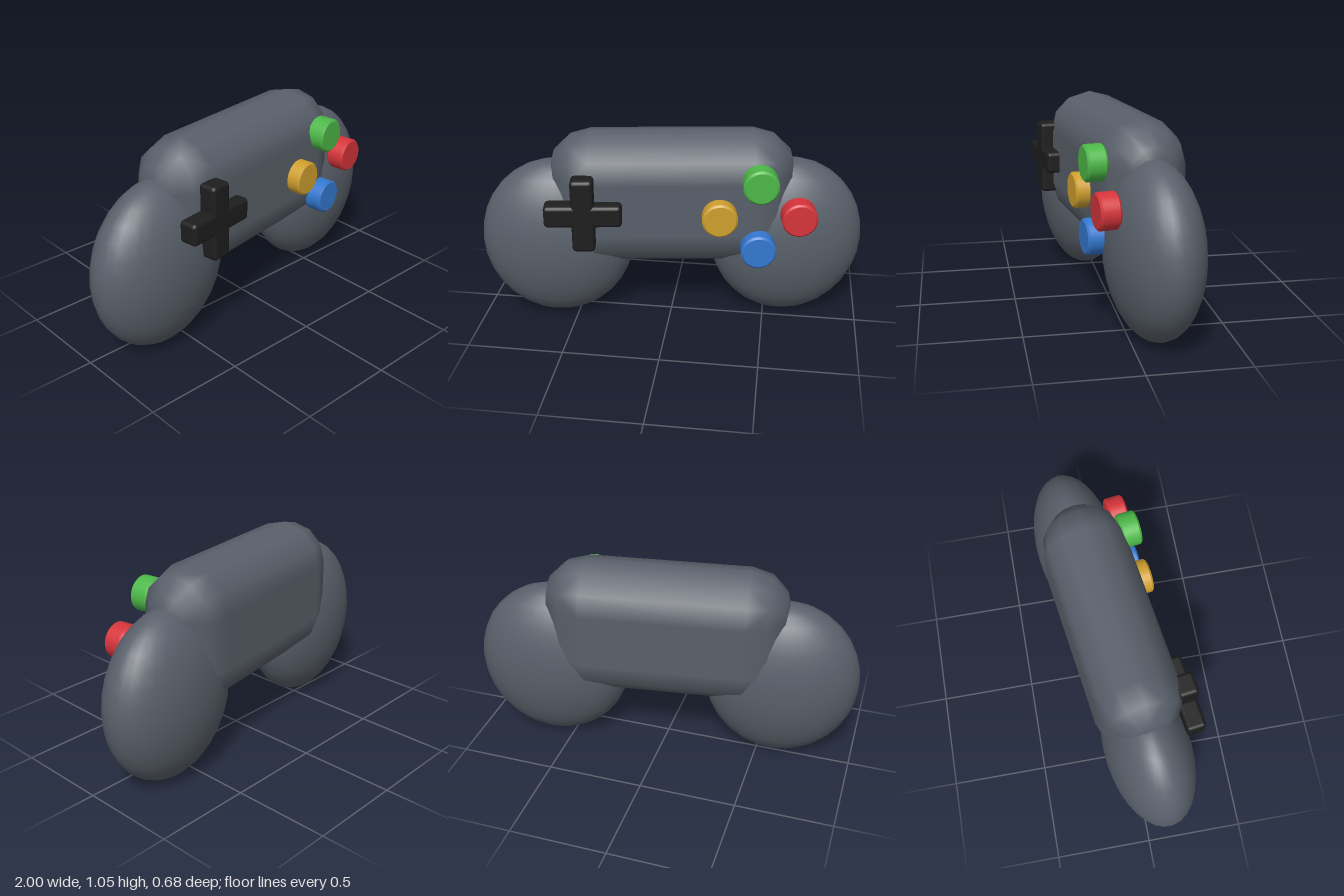
import * as THREE from 'three';
import { RoundedBoxGeometry } from 'three/addons/geometries/RoundedBoxGeometry.js';
import { ConvexGeometry } from 'three/addons/geometries/ConvexGeometry.js';

const material = (name, color) => {
  const m = new THREE.MeshStandardMaterial({ color });
  m.name = name;
  return m;
};

// Pill-like box: eight coarse sphere octants spread apart and wrapped in a hull
function pillBox(hx, hy, r) {
  const points = [];
  for (const sx of [-1, 1]) for (const sy of [-1, 1]) for (const sz of [-1, 1]) {
    for (let i = 0; i <= 3; i++) for (let j = 0; j <= (i === 3 ? 0 : 3); j++) {
      const lat = i * Math.PI / 6, lon = j * Math.PI / 6;
      points.push(new THREE.Vector3(
        sx * (hx + r * Math.sin(lat)),
        sy * (hy + r * Math.cos(lat) * Math.sin(lon)),
        sz * r * Math.cos(lat) * Math.cos(lon)));
    }
  }
  const geometry = new ConvexGeometry(points);
  // Smooth normals point away from the flat core
  const pos = geometry.attributes.position, normal = geometry.attributes.normal;
  const p = new THREE.Vector3(), core = new THREE.Vector3();
  for (let i = 0; i < pos.count; i++) {
    p.fromBufferAttribute(pos, i);
    core.set(THREE.MathUtils.clamp(p.x, -hx, hx), THREE.MathUtils.clamp(p.y, -hy, hy), 0);
    p.sub(core).normalize();
    normal.setXYZ(i, p.x, p.y, p.z);
  }
  return geometry;
}

// Round button with softened rims, axis along z; separate lathes keep edges crisp
function button(name, mat) {
  const R = 0.09, h = 0.05, b = 0.01;
  const profile = [[0, -h], [R - b, -h], [R, -h + b], [R, h - b], [R - b, h], [0, h]];
  const group = new THREE.Group();
  group.name = name;
  for (let i = 0; i < profile.length - 1; i++) {
    const ring = [profile[i], profile[i + 1]].map(([x, y]) => new THREE.Vector2(x, y));
    const mesh = new THREE.Mesh(new THREE.LatheGeometry(ring, 32).rotateX(Math.PI / 2), mat);
    mesh.name = name + 'Surface';
    group.add(mesh);
  }
  return group;
}

export function createModel() {
  const shell = material('slate grey', 0x59606a);
  const black = material('black', 0x1e1e1e);

  const root = new THREE.Group();
  root.name = 'gamepad';
  const pad = new THREE.Group();
  pad.name = 'pad';
  pad.position.z = -0.03;
  pad.rotation.y = THREE.MathUtils.degToRad(8);
  root.add(pad);

  const add = (name, geometry, mat, x, y, z) => {
    const mesh = new THREE.Mesh(geometry, mat);
    mesh.name = name;
    mesh.position.set(x, y, z);
    pad.add(mesh);
  };

  // Central body
  add('body', pillBox(0.417, 0.141, 0.219), shell, 0, 0.69, 0);

  // Flattened egg-like grips
  for (const s of [-1, 1]) {
    const grip = new THREE.SphereGeometry(1, 32, 16).scale(0.403, 0.442, 0.22);
    add(s > 0 ? 'leftGrip' : 'rightGrip', grip, shell, s * 0.605, 0.447, 0);
  }

  // Direction cross
  add('crossHorizontal', new RoundedBoxGeometry(0.39, 0.115, 0.1, 2, 0.02), black, -0.45, 0.69, 0.235);
  add('crossVertical', new RoundedBoxGeometry(0.115, 0.39, 0.1, 2, 0.02), black, -0.45, 0.69, 0.235);

  // Four action buttons in a diamond
  const buttons = [
    ['topButton', 'green', 0x4db848, 0, 0.18],
    ['bottomButton', 'blue', 0x3478d0, 0, -0.18],
    ['innerButton', 'yellow', 0xd0a02e, -0.2, 0],
    ['outerButton', 'red', 0xd6343a, 0.2, 0],
  ];
  for (const [name, colorName, color, dx, dy] of buttons) {
    const b = button(name, material(colorName, color));
    b.position.set(0.435 + dx, 0.668 + dy, 0.24);
    pad.add(b);
  }
  return root;
}
